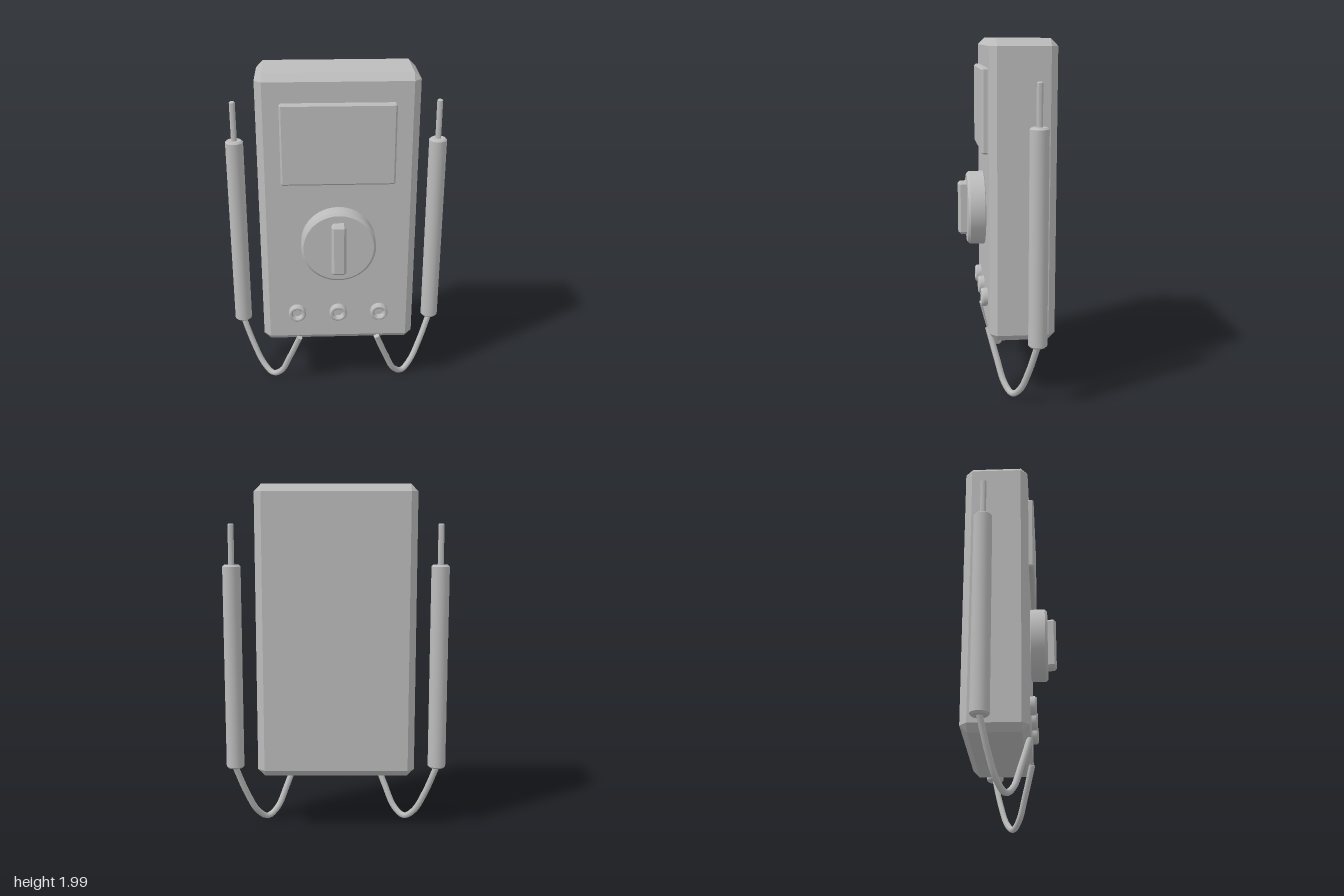
import * as THREE from 'three';
import { toCreasedNormals } from 'three/addons/utils/BufferGeometryUtils.js';
import { ConvexGeometry } from 'three/addons/geometries/ConvexGeometry.js';

// Box with every edge cut at 45 degrees by c
function chamferBox(w, h, d, c) {
  const pts = [];
  for (const sx of [-1, 1]) for (const sy of [-1, 1]) for (const sz of [-1, 1]) {
    const [x, y, z] = [w / 2, h / 2, d / 2];
    pts.push(new THREE.Vector3(sx * x, sy * (y - c), sz * (z - c)));
    pts.push(new THREE.Vector3(sx * (x - c), sy * y, sz * (z - c)));
    pts.push(new THREE.Vector3(sx * (x - c), sy * (y - c), sz * z));
  }
  return new ConvexGeometry(pts);
}

// Turned part from [radius, height] pairs, listed from the bottom up
function turned(profile, segments) {
  const pts = profile.map(([r, y]) => new THREE.Vector2(r, y));
  return toCreasedNormals(new THREE.LatheGeometry(pts, segments), 0.5);
}

export function createModel() {
  const model = new THREE.Group();
  model.name = 'multimeter';
  const grey = new THREE.MeshStandardMaterial({ color: 0xbcbcbc });
  grey.name = 'grey';

  function add(name, geometry, x, y, z, parent = model) {
    const mesh = new THREE.Mesh(geometry, grey);
    mesh.name = name;
    mesh.position.set(x, y, z);
    parent.add(mesh);
    return mesh;
  }

  // Case and screen
  add('case', chamferBox(0.9, 1.655, 0.365, 0.04), 0, 1.1725, -0.0775);
  add('screen', chamferBox(0.64, 0.466, 0.06, 0.01), 0, 1.612, 0.107);

  // Rotary selector
  const dial = turned([[0, 0], [0.2, 0], [0.214, 0.014], [0.214, 0.096], [0.2, 0.11], [0, 0.11]], 48);
  add('dial', dial.rotateX(Math.PI / 2), 0, 1.023, 0.095);
  add('dialGrip', chamferBox(0.084, 0.31, 0.08, 0.014), 0, 1.025, 0.215);

  // Input sockets
  const socket = turned([[0.052, 0], [0.052, 0.028], [0.044, 0.037], [0.036, 0.037], [0.029, 0.03], [0.029, 0]], 24)
    .rotateX(Math.PI / 2);
  for (const x of [-0.245, 0, 0.245]) add('socket', socket, x, 0.55, 0.103);

  // Test leads, one on each side
  const handle = turned([[0, 0.37], [0.042, 0.37], [0.052, 0.38], [0.052, 1.545], [0.042, 1.555], [0, 1.555]], 24);
  const tip = turned([[0.017, 1.54], [0.017, 1.78], [0.012, 1.785], [0, 1.785]], 16);
  for (const side of [-1, 1]) {
    const lead = new THREE.Group();
    lead.name = side < 0 ? 'rightLead' : 'leftLead';
    model.add(lead);
    add('probeHandle', handle, side * 0.59, 0, -0.14, lead);
    add('probeTip', tip, side * 0.59, 0, -0.14, lead);

    const path = new THREE.CatmullRomCurve3([
      [0.235, 0.365, 0.1], [0.3, 0.195, 0.055], [0.355, 0.07, 0.018], [0.412, 0.027, -0.02],
      [0.47, 0.075, -0.06], [0.53, 0.2, -0.1], [0.592, 0.375, -0.14],
    ].map(([x, y, z]) => new THREE.Vector3(side * x, y, z)));
    add('cable', new THREE.TubeGeometry(path, 40, 0.018, 8), 0, 0, 0, lead);

    // Closed end of the cable at the case
    const end = path.getPoint(0);
    const cap = add('cableEnd', new THREE.CircleGeometry(0.018, 8), end.x, end.y, end.z, lead);
    cap.lookAt(end.clone().sub(path.getTangent(0)));
  }
  return model;
}
